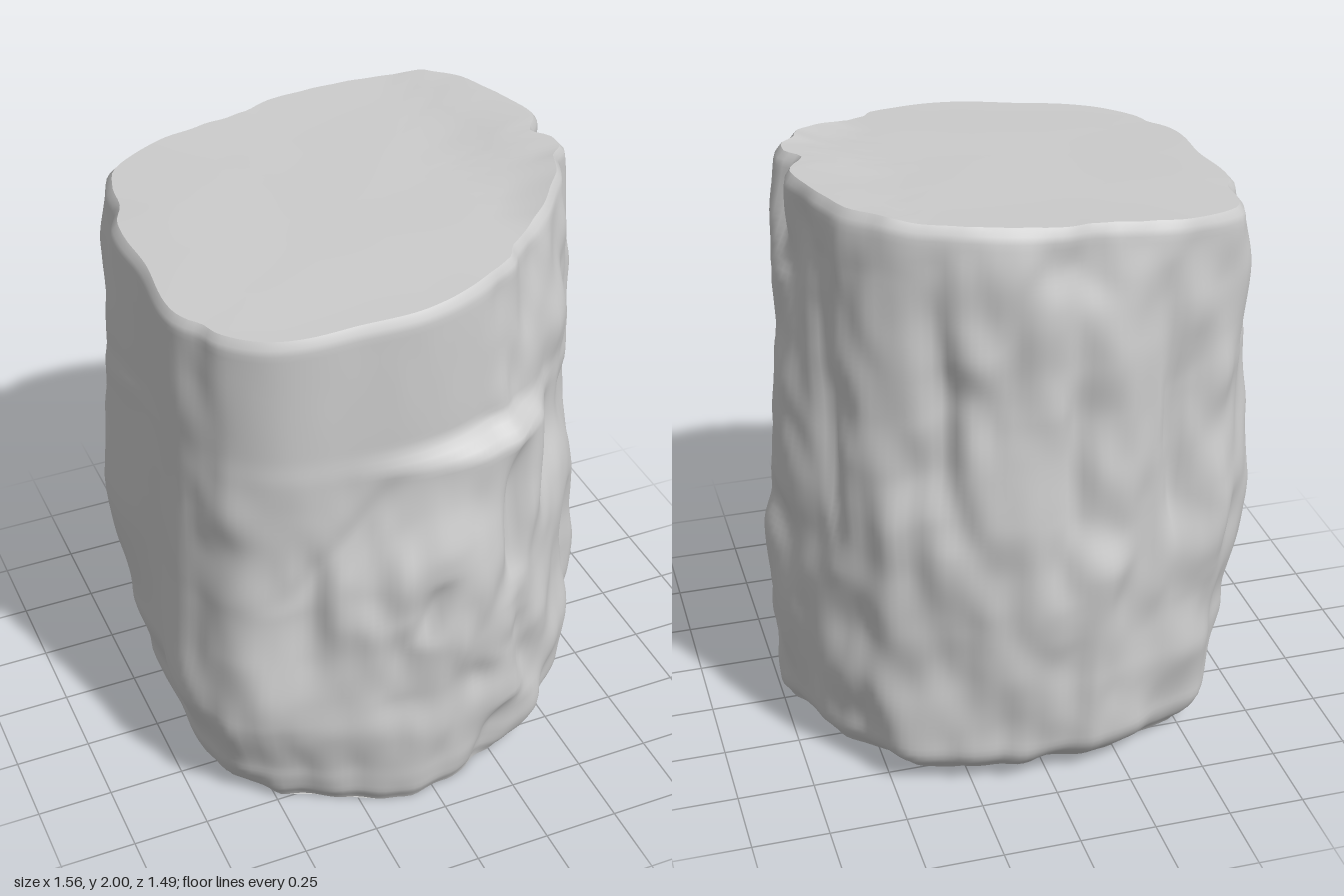
import * as THREE from 'three';
import { toCreasedNormals } from 'three/addons/utils/BufferGeometryUtils.js';

const COLS = 180, ROWS = 90, START = -65 * Math.PI / 180;

// Radii at 16 directions, from +x round through +z, for a few heights
const LEVELS = [
  { y: 0.00, r: [.74, .67, .66, .66, .67, .67, .70, .69, .65, .69, .71, .65, .63, .66, .70, .73] },
  { y: 0.15, r: [.76, .71, .69, .69, .69, .68, .73, .73, .67, .73, .77, .70, .70, .71, .75, .75] },
  { y: 0.40, r: [.775, .74, .72, .71, .70, .71, .81, .80, .72, .78, .80, .73, .71, .72, .76, .76] },
  { y: 0.85, r: [.75, .71, .68, .71, .73, .70, .76, .77, .72, .84, .82, .75, .73, .73, .76, .75] },
  { y: 1.34, r: [.72, .67, .63, .69, .66, .65, .74, .75, .71, .81, .82, .74, .70, .71, .75, .75] },
  { y: 1.43, r: [.72, .66, .61, .60, .61, .64, .735, .75, .705, .80, .82, .74, .70, .71, .75, .75] },
  { y: 2.00, r: [.69, .63, .57, .57, .60, .63, .73, .75, .70, .75, .80, .71, .67, .69, .75, .73] },
];

// Cracks in the bark: [angle, y start, y end, angular width, depth, lean]
const CRACKS = [
  [10, 0.55, 1.15, 3, .06, 0], [-30, 0.75, 1.85, 4, .06, 3], [-6, 1.66, 2.2, 5, .08, 6],
  [66, 0.75, 1.38, 4, .06, -4], [62, 0.25, 0.8, 4, .05, 8], [50, 0.65, 1.4, 7, .035, -30],
  [25, 0.15, 0.9, 4, .05, 6], [-62, 0.9, 1.9, 4, .04, 5], [-95, 0.7, 1.8, 4, .03, -5],
  [-122, 0.6, 1.8, 3, .04, 6], [93, 0.7, 0.95, 3, .03, -5], [70, 0, 0.3, 5, .04, -8],
  [116, 0.85, 1.35, 5, .025, -30],
];

const smooth = THREE.MathUtils.smoothstep;
const lerp = THREE.MathUtils.lerp;
const topY = (x, z) => Math.min(2, 1.915 + 0.09 * x - 0.052 * z + 0.15 * Math.max(0, x - 0.4));
const baseY = (x, z) => Math.max(0, 0.018 + 0.03 * x - 0.035 * z);

function hash(i, j, k) {
  const s = Math.sin(i * 127.1 + j * 311.7 + k * 74.7) * 43758.5453;
  return s - Math.floor(s);
}

// Smooth value noise in -1..1
function noise(x, y, z) {
  const [i, j, k] = [x, y, z].map(Math.floor);
  const [u, v, w] = [x - i, y - j, z - k].map(t => t * t * (3 - 2 * t));
  const edge = (b, c) => lerp(hash(i, b, c), hash(i + 1, b, c), u);
  const face = c => lerp(edge(j, c), edge(j + 1, c), v);
  return lerp(face(k), face(k + 1), w) * 2 - 1;
}

// Radius of one level at any angle (periodic Catmull-Rom)
function levelRadius(r, angle) {
  const f = ((angle / (Math.PI * 2)) * 16 + 32) % 16;
  const i = Math.floor(f), t = f - i;
  const [a, b, c, d] = [15, 16, 17, 18].map(o => r[(i + o) % 16]);
  return b + 0.5 * t * (c - a + t * (2 * a - 5 * b + 4 * c - d + t * (3 * (b - c) + d - a)));
}

// How rough the bark is: the left face and the upper front are cut smooth
function roughness(deg, y) {
  const side = smooth(deg, 152, 162) * (1 - smooth(deg, 198, 208));
  const front = smooth(deg, 62, 80) * (1 - smooth(deg, 140, 152)) * smooth(y, 0.95, 1.45);
  return 1 - 0.92 * Math.max(side, front);
}

function radius(angle, y) {
  let n = 0;
  while (n < LEVELS.length - 2 && y > LEVELS[n + 1].y) n++;
  const a = LEVELS[n], b = LEVELS[n + 1];
  let r = lerp(levelRadius(a.r, angle), levelRadius(b.r, angle), smooth(y, a.y, b.y));
  const deg = (angle * 180 / Math.PI + 720) % 360;
  const c = Math.cos(angle), s = Math.sin(angle);
  const warp = 0.6 * noise(c * 3, y * 3, s * 3 + 9);
  const ridge = noise(c * 5 + warp, y * 2.2, s * 5 + warp);
  const lump = noise(c * 5 + 20, y * 5 + warp, s * 5);
  const fine = noise(c * 10 + 5, y * 6, s * 10 + warp);
  r += roughness(deg, y) * (0.022 * ridge + 0.021 * lump + 0.012 * fine - 0.004);
  for (const [at, y0, y1, width, depth, lean] of CRACKS) {
    if (y < y0 || y > y1) continue;
    const t = (y - y0) / (y1 - y0);
    const off = ((deg - at - lean * (t - 0.5) + 900) % 360) - 180;
    r -= depth * Math.exp(-((off / width) ** 2)) * Math.sin(Math.PI * t);
  }
  return r;
}

// Point on the bark; t runs from the base (0) to the sawn top (1)
function barkPoint(col, t) {
  const angle = START + (col / COLS) * Math.PI * 2;
  const c = Math.cos(angle), s = Math.sin(angle);
  const rim = levelRadius(LEVELS[6].r, angle);
  const y = lerp(baseY(c * 0.7, s * 0.65), topY(c * rim, s * rim), t);
  const r = radius(angle, y) - 0.02 * smooth(t, 0.985, 1) - 0.025 * (1 - smooth(t, 0, 0.03));
  return new THREE.Vector3(c * r, y, s * r);
}

function geometryFrom(points, index) {
  const g = new THREE.BufferGeometry().setFromPoints(points);
  g.setIndex(index);
  g.computeVertexNormals();
  return g;
}

function barkGeometry() {
  const points = [], index = [];
  for (let j = 0; j <= ROWS; j++)
    for (let i = 0; i < COLS; i++) {
      points.push(barkPoint(i, j / ROWS));
      if (j === ROWS) continue;
      const a = j * COLS + i, b = j * COLS + (i + 1) % COLS;
      index.push(a, a + COLS, b, b, a + COLS, b + COLS);
    }
  return geometryFrom(points, index);
}

// Sawn top: rings shrinking to the middle, very slightly uneven
function topGeometry() {
  const points = [], index = [], rings = 8;
  for (let j = 0; j <= rings; j++)
    for (let i = 0; i < COLS; i++) {
      const rim = barkPoint(i, 1), k = 1 - j / rings;
      const x = rim.x * k, z = rim.z * k;
      const y = j === 0 ? rim.y : topY(x, z) + 0.004 * noise(x * 4, 3, z * 4);
      points.push(new THREE.Vector3(x, y, z));
      if (j === rings) continue;
      const a = j * COLS + i, b = j * COLS + (i + 1) % COLS;
      index.push(a, a + COLS, b, b, a + COLS, b + COLS);
    }
  return geometryFrom(points, index);
}

// Underside: chords across the base, rising to a straight step near the front
function undersideGeometry() {
  const points = [], index = [], cells = 20, half = COLS / 2, step = Math.round(half * 0.64);
  const rows = [];
  for (let k = 0; k <= half; k++) {
    rows.push([k, k <= step ? 0.15 * k / step : 0]);
    if (k === step) rows.push([k, 0]);
  }
  rows.forEach(([k, lift], j) => {
    const a = barkPoint(k, 0), b = barkPoint(COLS - k, 0);
    for (let i = 0; i <= cells; i++) {
      const t = i / cells, p = a.clone().lerp(b, t);
      p.y += lift * Math.min(1, 8 * t, 8 * (1 - t));
      points.push(p);
      if (i === cells || j === rows.length - 1) continue;
      const q = j * (cells + 1) + i, n = q + cells + 1;
      index.push(q, n, q + 1, q + 1, n, n + 1);
    }
  });
  return toCreasedNormals(geometryFrom(points, index), 0.6);
}

export function createModel() {
  const stump = new THREE.Group();
  stump.name = 'treeStump';
  const material = new THREE.MeshStandardMaterial({ color: 0xcccccc });
  const parts = { bark: barkGeometry(), sawnTop: topGeometry(), underside: undersideGeometry() };
  for (const [name, geometry] of Object.entries(parts)) {
    const mesh = new THREE.Mesh(geometry, material);
    mesh.name = name;
    stump.add(mesh);
  }
  return stump;
}
